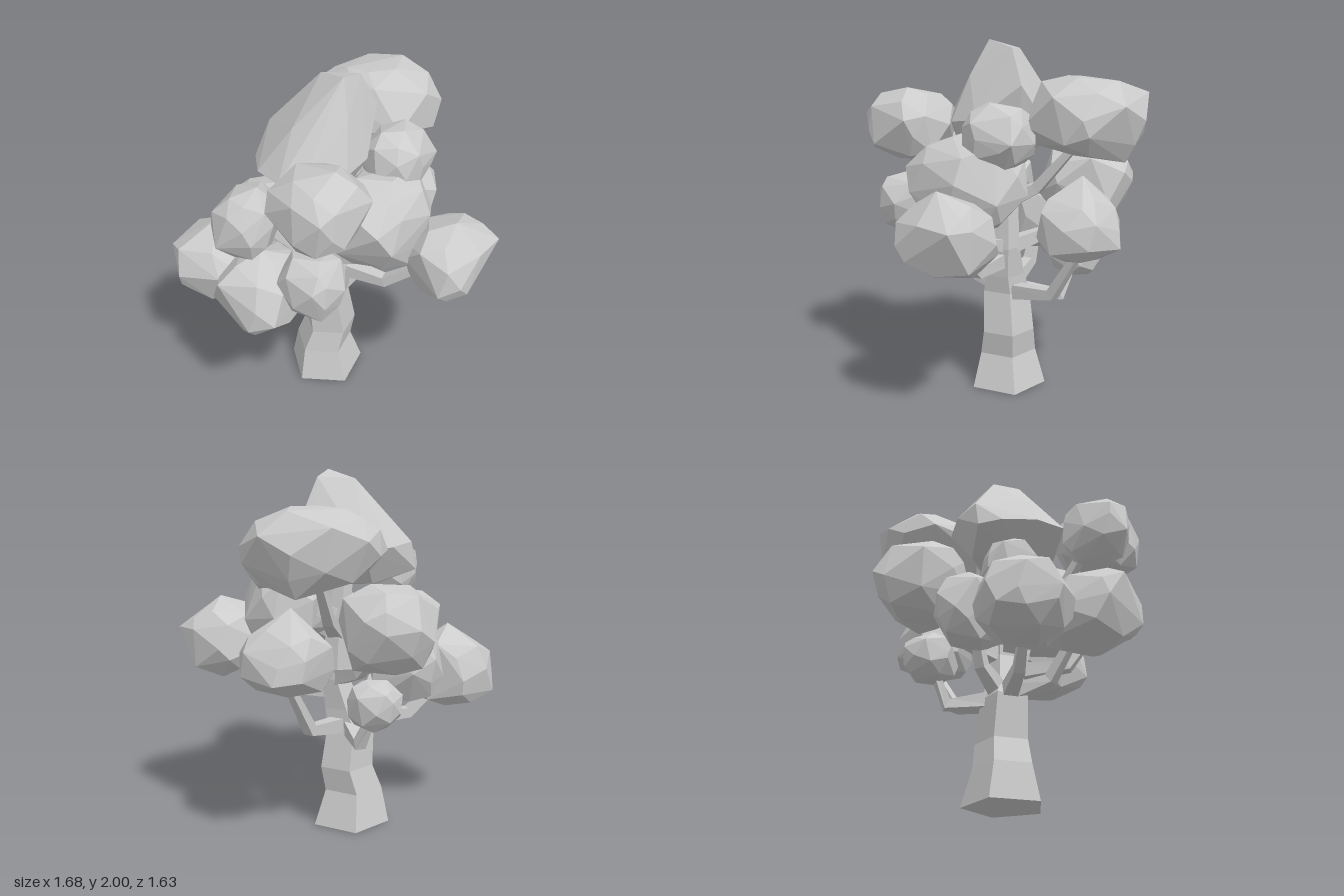
import * as THREE from 'three';
import { ConvexGeometry } from 'three/addons/geometries/ConvexGeometry.js';

const V = (x, y, z) => new THREE.Vector3(x, y, z);
const material = new THREE.MeshStandardMaterial({ color: 0xcccccc, flatShading: true });

// Small seeded generator
function seeded(seed) {
  let s = seed * 7919 + 17;
  return () => (s = (s * 16807) % 2147483647) / 2147483647;
}

// Faceted leaf clump: hull of uneven, slightly boxy sphere points fitted to its half sizes,
// with a few extra corner points
function clumpGeometry(seed, [cx, cy, cz], [rx, ry, rz], tips = []) {
  const rnd = seeded(seed + 3), n = 30, pts = [];
  const bulge = c => Math.sign(c) * Math.abs(c) ** 0.85;
  for (let i = 0; i < 5; i++) rnd();
  for (let i = 0; i < n; i++) {
    const y = 1 - 2 * (i + 0.5) / n;
    const a = i * 2.39996 + (rnd() - 0.5) * 0.7;
    const r = Math.sqrt(1 - y * y);
    const p = V(Math.cos(a) * r, y + (rnd() - 0.5) * 0.15, Math.sin(a) * r).normalize();
    pts.push(V(bulge(p.x), bulge(p.y), bulge(p.z)).multiplyScalar(0.92 + 0.12 * rnd()));
  }
  const box = new THREE.Box3().setFromPoints(pts);
  const size = box.getSize(V(0, 0, 0)), mid = box.getCenter(V(0, 0, 0));
  pts.forEach(p => p.sub(mid).divide(size).multiply(V(2 * rx, 2 * ry, 2 * rz)).add(V(cx, cy, cz)));
  return new ConvexGeometry([...pts, ...tips.map(t => V(...t))]);
}

// Tapering limb with polygon rings along a path of [x, y, z, radius]
function limbGeometry(path, sides, level = false, turn = 0) {
  const points = path.map(p => V(p[0], p[1], p[2]));
  const pos = [], index = [];
  points.forEach((p, i) => {
    const dir = points[Math.min(i + 1, points.length - 1)].clone()
      .sub(points[Math.max(i - 1, 0)]).normalize();
    if (level) dir.set(0, 1, 0);
    const u = (Math.abs(dir.y) > 0.95 ? V(0, 0, 1) : V(0, 1, 0)).cross(dir).normalize();
    const w = dir.clone().cross(u);
    for (let k = 0; k < sides; k++) {
      const a = turn + k / sides * Math.PI * 2;
      const q = p.clone().addScaledVector(u, Math.cos(a) * path[i][3])
        .addScaledVector(w, Math.sin(a) * path[i][3]);
      pos.push(q.x, q.y, q.z);
    }
  });
  const last = (path.length - 1) * sides;
  for (let i = 0; i < path.length - 1; i++) {
    for (let k = 0; k < sides; k++) {
      const a = i * sides + k, b = i * sides + (k + 1) % sides;
      index.push(a, b, b + sides, a, b + sides, a + sides);
    }
  }
  for (let k = 1; k < sides - 1; k++) {
    index.push(0, k + 1, k, last, last + k, last + k + 1);
  }
  const g = new THREE.BufferGeometry();
  g.setAttribute('position', new THREE.Float32BufferAttribute(pos, 3));
  g.setIndex(index);
  const flat = g.toNonIndexed();
  flat.computeVertexNormals();
  return flat;
}

export function createModel() {
  const tree = new THREE.Group();
  tree.name = 'tree';
  const add = (name, geometry, parent = tree) => {
    const mesh = new THREE.Mesh(geometry, material);
    mesh.name = name;
    parent.add(mesh);
  };

  // Five-sided trunk, flared at the foot, waisted, thinning into the crown
  add('trunk', limbGeometry([
    [-0.09, 0, 0.025, 0.225], [-0.1, 0.2, 0.035, 0.17], [-0.067, 0.34, 0.01, 0.155],
    [-0.083, 0.58, 0.034, 0.139], [-0.05, 0.68, 0.02, 0.115], [-0.01, 0.85, -0.015, 0.08],
    [-0.02, 1.1, -0.01, 0.07], [-0.05, 1.45, 0.03, 0.05],
  ], 5, true, 0.14));

  // Branches, each bending once on its way to a clump
  const branches = new THREE.Group();
  branches.name = 'branches';
  tree.add(branches);
  [
    [[-0.1, 0.6, 0.05], [-0.37, 0.61, 0.25], [-0.55, 0.8, 0.38]],
    [[-0.1, 0.6, 0.1], [-0.1, 0.64, 0.3], [-0.14, 0.9, 0.5]],
    [[0, 0.76, 0.05], [0.06, 0.77, 0.33], [0.14, 1.02, 0.5]],
    [[-0.02, 0.78, 0], [0.28, 0.77, -0.02], [0.55, 0.97, -0.07]],
    [[-0.05, 0.58, -0.02], [0.02, 0.63, -0.34], [0.07, 0.95, -0.55]],
    [[-0.1, 0.58, -0.02], [-0.23, 0.55, -0.25], [-0.32, 0.75, -0.29]],
    [[-0.12, 0.6, 0.02], [-0.3, 0.7, 0], [-0.4, 0.95, 0]],
    [[-0.02, 0.85, -0.02], [-0.2, 0.92, -0.17], [-0.38, 1.15, -0.28]],
    [[-0.02, 0.85, 0], [0.16, 0.9, 0], [0.27, 1.18, 0.02]],
    [[-0.02, 1.1, 0], [-0.04, 1.2, -0.2], [-0.06, 1.48, -0.45]],
    [[-0.03, 1.05, 0.02], [-0.08, 1.12, 0.35], [-0.15, 1.38, 0.57]],
    [[-0.02, 1.12, 0.02], [0.05, 1.2, 0.25], [0.15, 1.45, 0.45]],
    [[-0.03, 1.2, 0], [0.08, 1.24, -0.08], [0.25, 1.46, -0.14]],
    [[-0.02, 0.9, 0.02], [-0.18, 0.95, 0.12], [-0.34, 1.12, 0.22]],
  ].forEach(path => add('branch', limbGeometry(
    path.map((p, i) => [...p, [0.062, 0.042, 0.025][i]]), 4, false, Math.PI / 4), branches));

  // Leaf clumps: centre, half sizes, extra corner points
  const foliage = new THREE.Group();
  foliage.name = 'foliage';
  tree.add(foliage);
  [
    [[-0.06, 1.62, -0.51], [0.34, 0.2, 0.31],
      [[-0.05, 1.39, -0.72], [-0.05, 1.82, -0.38], [-0.38, 1.6, -0.27]]],
    [[0.08, 1.05, -0.53], [0.24, 0.18, 0.21], [[0.05, 1.32, -0.53], [0.06, 0.96, -0.76]]],
    [[-0.39, 1.2, -0.32], [0.27, 0.23, 0.26]],
    [[-0.33, 0.79, -0.3], [0.14, 0.13, 0.14]],
    [[-0.41, 0.96, -0.01], [0.21, 0.2, 0.17]],
    [[-0.59, 0.86, 0.4], [0.23, 0.21, 0.23],
      [[-0.84, 0.75, 0.37], [-0.57, 1.13, 0.36], [-0.55, 1.04, 0.16]]],
    [[-0.36, 1.18, 0.21], [0.19, 0.17, 0.17]],
    [[-0.16, 1.42, 0.61], [0.15, 0.19, 0.2]],
    [[0.17, 1.54, 0.48], [0.23, 0.2, 0.24]],
    [[0.28, 1.26, 0.02], [0.24, 0.25, 0.33], [[0.48, 1.03, 0.08]]],
    [[0.26, 1.51, -0.14], [0.17, 0.18, 0.2], [[0.41, 1.5, -0.32]]],
    [[0.62, 1.05, -0.07], [0.2, 0.2, 0.26],
      [[0.84, 1.13, -0.24], [0.67, 1.29, -0.05], [0.36, 1.03, -0.08]]],
    [[0.15, 1.08, 0.53], [0.18, 0.17, 0.16]],
    [[-0.15, 0.95, 0.55], [0.22, 0.21, 0.26], [[-0.14, 1.2, 0.56]]],
  ].forEach((clump, i) => add('leafClump', clumpGeometry(i, ...clump), foliage));

  // Pointed top clump
  add('topClump', new ConvexGeometry([
    [0.05, 2, 0.05], [-0.13, 1.95, -0.03], [0.06, 1.96, -0.1], [-0.43, 1.62, 0.02], [-0.45, 1.47, 0.05],
    [-0.37, 1.6, -0.13], [-0.25, 1.58, -0.24], [0.02, 1.6, -0.26], [0.11, 1.77, -0.19], [0.12, 1.81, 0.13],
    [0.19, 1.58, 0.05], [0.17, 1.56, 0.22], [0, 1.55, 0.36], [-0.12, 1.52, 0.41], [-0.3, 1.5, 0.33],
    [-0.42, 1.48, 0.18], [-0.15, 1.74, 0.22], [-0.25, 1.4, -0.1], [-0.2, 1.37, 0.15],
    [0.08, 1.36, 0.1], [0.05, 1.4, -0.15], [0.02, 1.4, 0.27],
  ].map(p => V(...p))), foliage);

  return tree;
}
